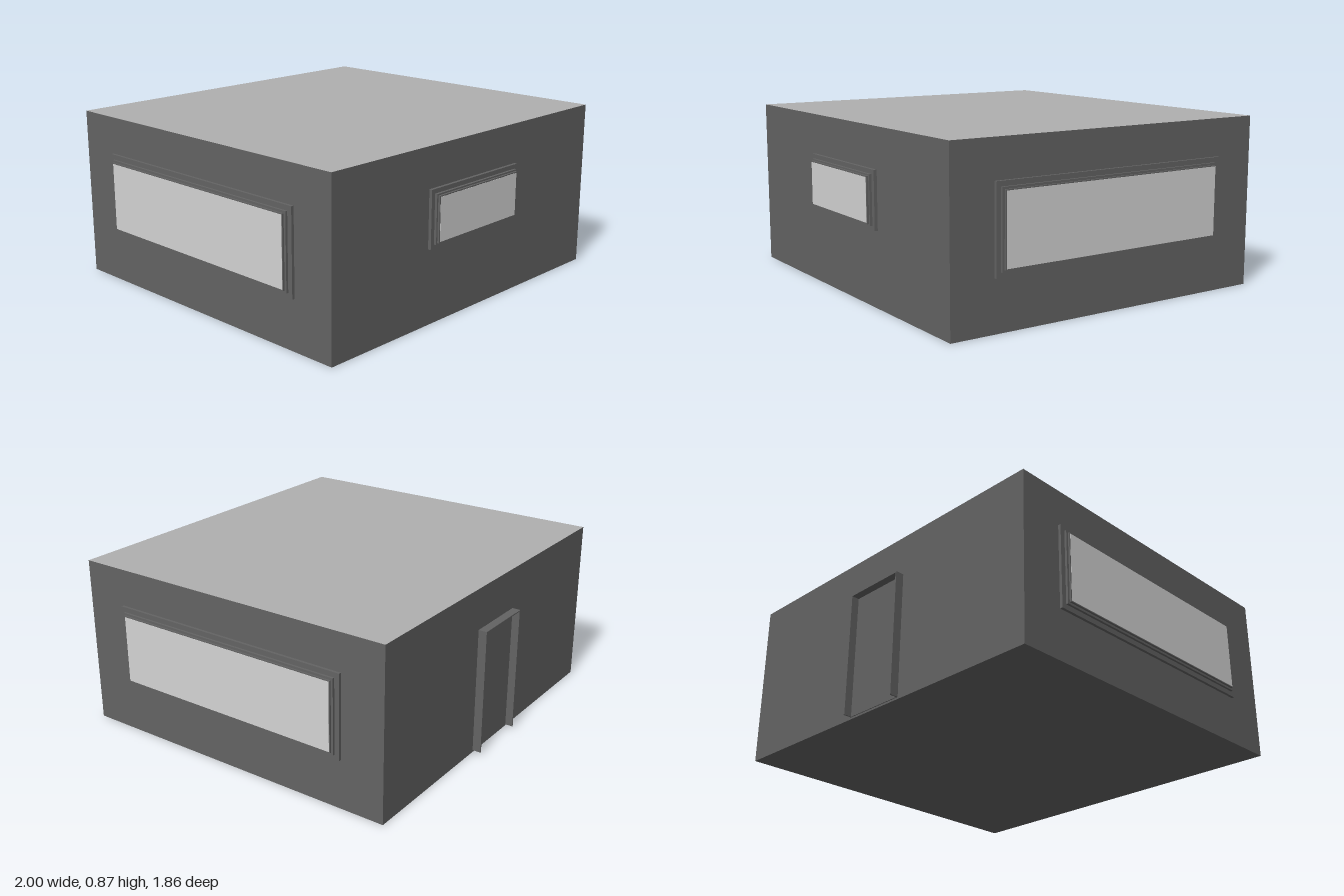
import * as THREE from 'three';

const paint = (name, color) => {
  const m = new THREE.MeshStandardMaterial({ color });
  m.name = name;
  return m;
};

export function createModel() {
  const wall = paint('dark grey wall', 0x636363);
  const roofGrey = paint('mid grey roof', 0xb0b0b0);
  const glass = paint('pale grey glass', 0xd4d4d4);
  const W = 0.965, H = 0.868, D = 0.886;

  const model = new THREE.Group();
  model.name = 'building';

  const box = (parent, name, w, h, d, x, y, z, mat) => {
    const mesh = new THREE.Mesh(new THREE.BoxGeometry(w, h, d), mat);
    mesh.name = name;
    mesh.position.set(x, y, z);
    parent.add(mesh);
    return mesh;
  };

  // Main block: the top face carries the roof colour
  box(model, 'walls', 2 * W, H, 2 * D, 0, H / 2, 0, [wall, wall, roofGrey, wall, wall, wall]);

  // Window built facing +z: three frame steps shrinking outward, glass at the front
  const addWindow = (name, w, h, y, depth, inset, angle, distance) => {
    const g = new THREE.Group();
    g.name = name;
    const outs = [0.4, 0.72, 0.97];
    inset.slice(0, 3).forEach((s, i) => {
      const d = depth * outs[i];
      box(g, 'frameStep' + (i + 1), w - 2 * s, h - 2 * s, d, 0, 0, d / 2, wall);
    });
    const s = inset[3];
    box(g, 'windowPane', w - 2 * s, h - 2 * s, 0.004, 0, 0, depth - 0.002, glass);
    g.rotation.y = angle;
    g.position.set(Math.sin(angle) * distance, y, Math.cos(angle) * distance);
    model.add(g);
  };
  addWindow('frontWindow', 0.66, 0.288, 0.522, 0.04, [0, 0.022, 0.03, 0.036], 0, D);
  for (const side of [1, -1]) {
    addWindow(side > 0 ? 'leftWindow' : 'rightWindow', 1.32, 0.426, 0.466, 0.035,
      [0, 0.025, 0.036, 0.041], side * Math.PI / 2, W);
  }

  // Back door: thin jambs and lintel around a recessed panel
  const door = new THREE.Group();
  door.name = 'backDoor';
  const half = 0.17, low = 0.01, high = 0.656, out = 0.044, t = 0.006;
  const mid = (low + high) / 2;
  for (const side of [1, -1]) {
    box(door, 'doorJamb', t, high - low, out, side * (half - t / 2), mid, -D - out / 2, wall);
  }
  box(door, 'doorLintel', 2 * half - 2 * t, t, out, 0, high - t / 2, -D - out / 2, wall);
  box(door, 'doorPanel', 2 * half - 2 * t, high - low - t, 0.004, 0, mid - t / 2, -D - 0.002, wall);
  model.add(door);

  return model;
}
